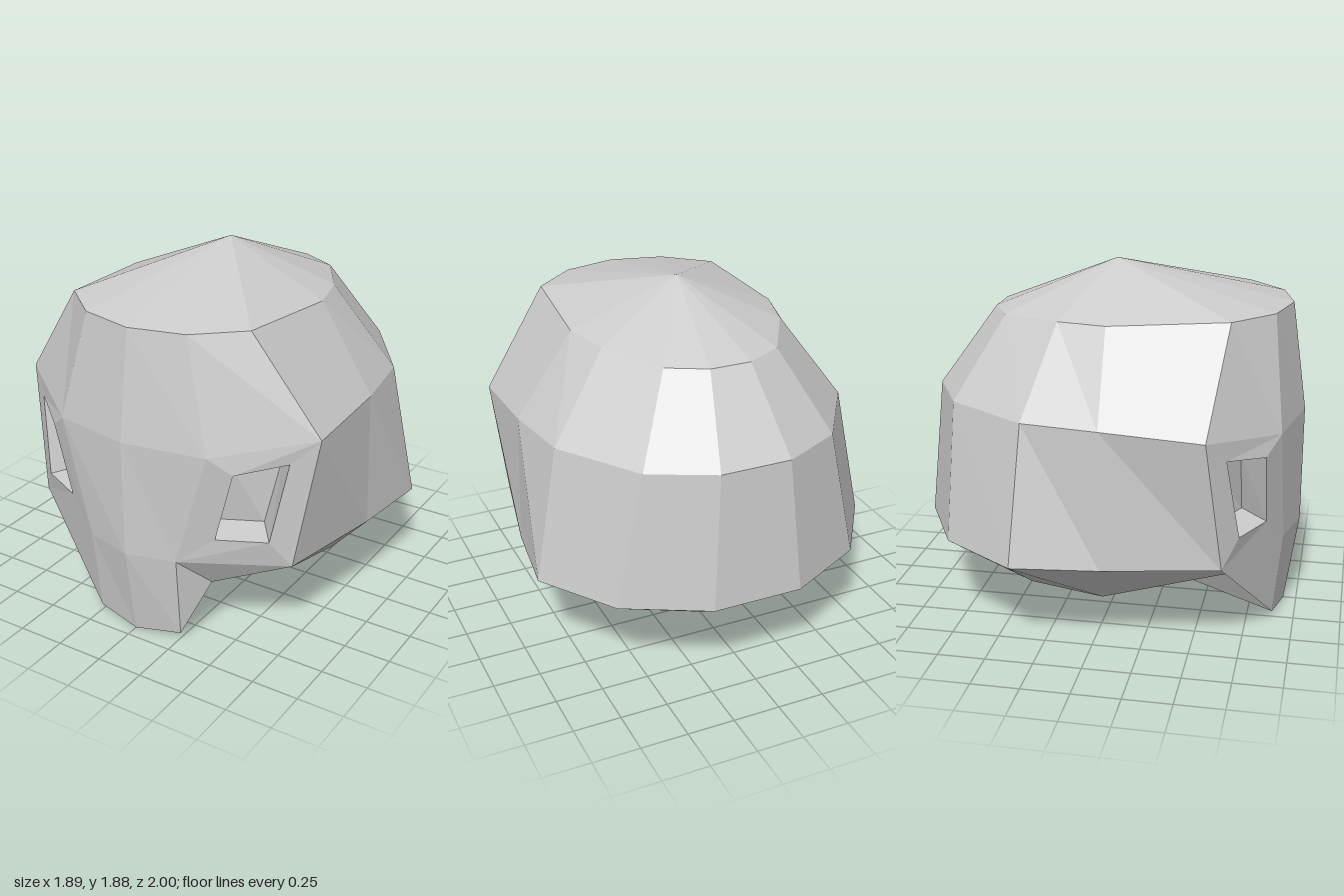
import * as THREE from 'three';

const grey = new THREE.MeshStandardMaterial({ color: 0xcccccc, flatShading: true });
grey.name = 'light grey';

const V = (p) => new THREE.Vector3(...p);
const flip = ([x, y, z]) => [-x, y, z];

// Half ring from the front centre round to the back, completed by mirroring
const ring = (half) => [...half, ...half.slice(1).reverse().map(flip)].map(V);

// Collects triangles and quads, dropping collapsed ones
function makeSurface() {
  const pos = [];
  const tri = (a, b, c) => {
    if (new THREE.Triangle(a, b, c).getArea() < 1e-6) return;
    for (const p of [a, b, c]) pos.push(p.x, p.y, p.z);
  };
  const quad = (a, b, c, d) => { tri(a, b, c); tri(a, c, d); };
  const mesh = (name) => {
    const g = new THREE.BufferGeometry();
    g.setAttribute('position', new THREE.Float32BufferAttribute(pos, 3));
    g.computeVertexNormals();
    const m = new THREE.Mesh(g, grey);
    m.name = name;
    return m;
  };
  return { tri, quad, mesh };
}

// Cross-sections from the crown down to the jaw
const top = V([0, 1.88, -0.01]);
const brow = ring([[0, 1.68, 0.92], [0.29, 1.68, 0.85], [0.52, 1.68, 0.65], [0.57, 1.645, 0.04],
  [0.5, 1.64, -0.22], [0.31, 1.62, -0.54], [0.11, 1.62, -0.645]]);
const cheek = ring([[0, 1.11, 1], [0.43, 1.1, 0.91], [0.87, 1.17, 0.58], [0.87, 1.2, 0.06],
  [0.81, 1.2, -0.34], [0.52, 1.2, -0.77], [0.19, 1.205, -0.94]]);
const jaw = ring([[0, 0.485, 1], [0.26, 0.485, 0.93], [0.77, 0.485, 0.66], [0.89, 0.485, 0.07],
  [0.945, 0.485, -0.38], [0.67, 0.485, -0.78], [0.24, 0.485, -1]]);
// The rim rises to the jaw line at the rear corners
const rim = ring([[0, 0, 0.93], [0.25, 0.03, 0.885], [0.37, 0.32, 0.77], [0.67, 0.24, 0.04],
  [0.56, 0.24, -0.36], [0.67, 0.485, -0.78], [0.14, 0.22, -0.62]]);
const bottom = V([0, 0.2, 0]);

// Eye opening corners: upper inner, lower inner, lower outer, upper outer
const eye = [[0.54, 1.01, 0.845], [0.44, 0.63, 0.85], [0.68, 0.63, 0.735], [0.75, 1.05, 0.67]];
const eyeFloor = eye.map(([x, y, z]) => [x - 0.108, y + (y > 0.8 ? -0.02 : 0.02), z - 0.138]);
const mirrorLoop = (loop) => loop.map(flip).reverse();

export function createModel() {
  const model = new THREE.Group();
  model.name = 'helmet';
  const n = brow.length;
  const loopEach = (fn) => { for (let i = 0; i < n; i++) fn(i, (i + 1) % n); };
  const band = (s, up, low, skip = []) => loopEach((i, j) => {
    if (!skip.includes(i)) s.quad(up[i], low[i], low[j], up[j]);
  });

  // Crown
  const crown = makeSurface();
  loopEach((i, j) => crown.tri(top, brow[i], brow[j]));
  model.add(crown.mesh('crown'));

  // Upper wall, and lower wall with the two eye panels left out
  const wall = makeSurface();
  const eyeColumns = [1, n - 2];
  band(wall, brow, cheek);
  band(wall, cheek, jaw, eyeColumns);

  // Eye panels and their recessed sockets
  eyeColumns.forEach((i, side) => {
    const outer = [cheek[i], jaw[i], jaw[i + 1], cheek[i + 1]];
    const hole = (side ? mirrorLoop(eye) : eye).map(V);
    const floor = (side ? mirrorLoop(eyeFloor) : eyeFloor).map(V);
    const socket = makeSurface();
    for (let k = 0; k < 4; k++) {
      const m = (k + 1) % 4;
      wall.quad(outer[k], outer[m], hole[m], hole[k]);
      socket.quad(hole[k], hole[m], floor[m], floor[k]);
    }
    socket.quad(...floor);
    model.add(socket.mesh(side ? 'rightEyeSocket' : 'leftEyeSocket'));
  });
  model.add(wall.mesh('wall'));

  // Chin and lower rim
  const lower = makeSurface();
  band(lower, jaw, rim);
  model.add(lower.mesh('chinAndRim'));

  // Underside
  const under = makeSurface();
  loopEach((i, j) => under.tri(bottom, rim[j], rim[i]));
  model.add(under.mesh('underside'));

  return model;
}
